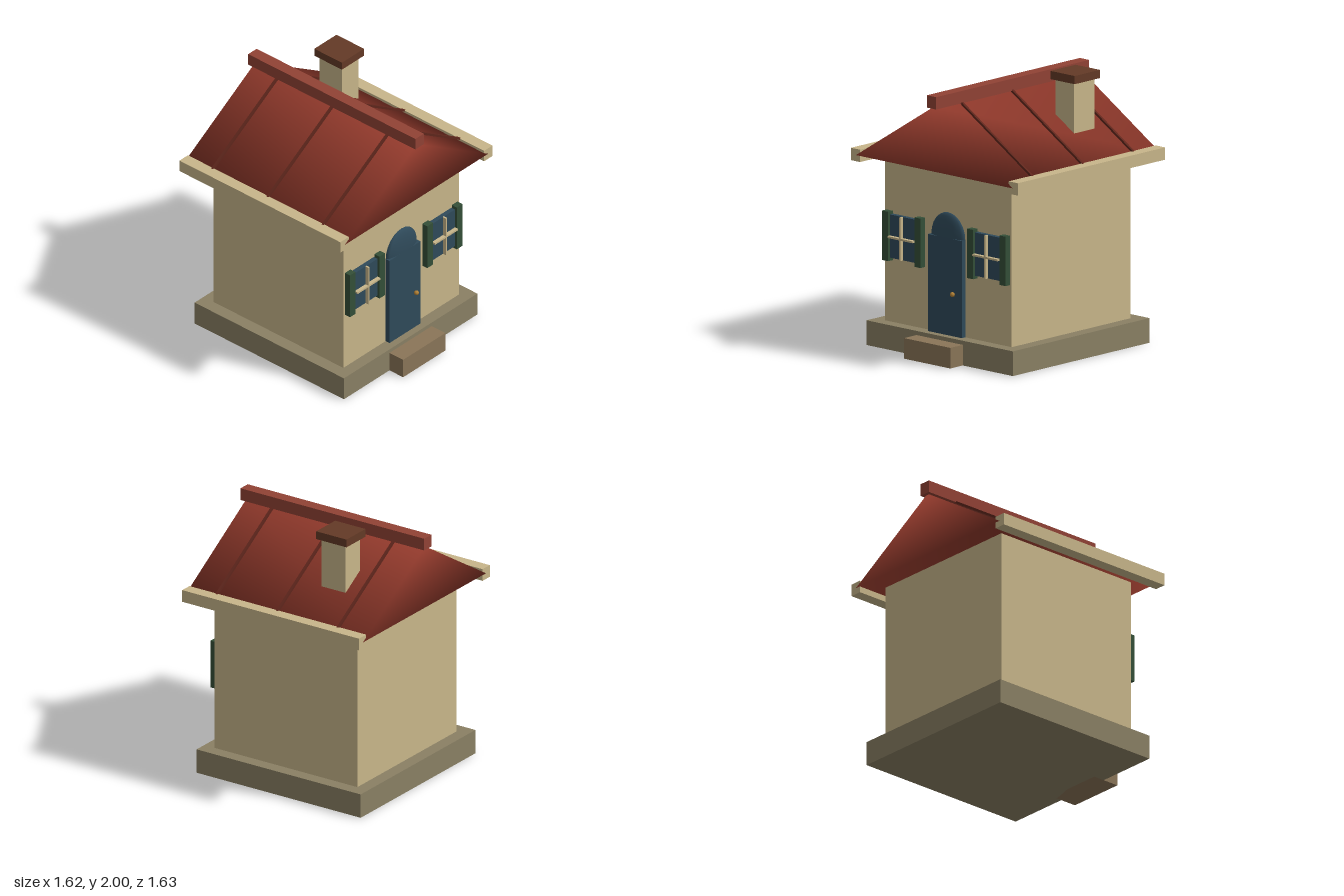
import * as THREE from 'three';

const mat = (color) => new THREE.MeshStandardMaterial({ color });
const M = {
  wall: mat(0xc8b68a), stone: mat(0x8a8064), step: mat(0x8a7558), roof: mat(0x933a2c),
  ridge: mat(0x914235), batten: mat(0x5f261c), cap: mat(0x643a26), blue: mat(0x2f4a5a),
  green: mat(0x344f38), brass: mat(0xb07f35),
};

// Box given by its lower and upper bounds on each axis
function box(name, material, [x0, x1], [y0, y1], [z0, z1]) {
  const mesh = new THREE.Mesh(new THREE.BoxGeometry(x1 - x0, y1 - y0, z1 - z0), material);
  mesh.position.set((x0 + x1) / 2, (y0 + y1) / 2, (z0 + z1) / 2);
  mesh.name = name;
  return mesh;
}

// Triangular prism with shared corners, so the shading blends across its edges
function createRoof(halfWidth, yEave, yTop, zBack, zFront) {
  const points = [];
  for (const z of [zFront, zBack]) points.push(-halfWidth, yEave, z, halfWidth, yEave, z, 0, yTop, z);
  const geometry = new THREE.BufferGeometry();
  geometry.setAttribute('position', new THREE.Float32BufferAttribute(points, 3));
  const faces = [0, 1, 2, 3, 5, 4];
  for (let i = 0; i < 3; i++) {
    const j = (i + 1) % 3;
    faces.push(i, i + 3, j, j, i + 3, j + 3);
  }
  geometry.setIndex(faces);
  geometry.computeVertexNormals();
  const roof = new THREE.Mesh(geometry, M.roof);
  roof.name = 'roof';
  return roof;
}

// Window with glass, crossed bars and a shutter on each side
function createWindow(name, x) {
  const group = new THREE.Group();
  group.name = name;
  group.add(
    box('glass', M.blue, [-0.122, 0.122], [0.655, 0.97], [0.59, 0.635]),
    box('verticalBar', M.wall, [-0.007, 0.007], [0.655, 0.97], [0.63, 0.663]),
    box('horizontalBar', M.wall, [-0.122, 0.122], [0.803, 0.817], [0.63, 0.663]),
  );
  for (const s of [-1, 1]) {
    const shutter = box('shutter', M.green, [-0.03, 0.03], [0.63, 0.99], [0.6, 0.648]);
    shutter.position.x = s * 0.157;
    group.add(shutter);
  }
  group.position.x = x;
  return group;
}

// Door with a domed head and a knob
function createDoor() {
  const group = new THREE.Group();
  group.name = 'door';
  const head = new THREE.Mesh(
    new THREE.SphereGeometry(1, 12, 6, 0, Math.PI * 2, 0, Math.PI / 2), M.blue);
  head.scale.set(0.165, 0.18, 0.04);
  head.position.set(0, 0.885, 0.6);
  head.name = 'doorHead';
  const knob = new THREE.Mesh(new THREE.SphereGeometry(0.018, 12, 8), M.brass);
  knob.position.set(0.095, 0.49, 0.66);
  knob.name = 'doorKnob';
  group.add(box('doorPanel', M.blue, [-0.165, 0.165], [0.18, 0.887], [0.59, 0.637]), head, knob);
  return group;
}

export function createModel() {
  const house = new THREE.Group();
  house.name = 'cottage';

  // Base, step and walls
  house.add(
    box('foundation', M.stone, [-0.71, 0.71], [0, 0.18], [-0.73, 0.69]),
    box('doorStep', M.step, [-0.225, 0.225], [0, 0.15], [0.6, 0.82]),
    box('walls', M.wall, [-0.615, 0.615], [0.18, 1.385], [-0.635, 0.6]),
  );

  // Roof and ridge
  house.add(
    createRoof(0.76, 1.385, 1.86, -0.787, 0.747),
    box('ridgeBeam', M.ridge, [-0.045, 0.045], [1.85, 1.94], [-0.815, 0.775]),
  );

  // Eave beams and raised battens on both slopes
  const slope = Math.atan(0.625);
  for (const s of [-1, 1]) {
    const eave = box('eaveBeam', M.wall, [-0.045, 0.045], [1.34, 1.43], [-0.785, 0.745]);
    eave.position.x = s * 0.765;
    house.add(eave);
    for (const z of [-0.545, -0.02, 0.505]) {
      const batten = new THREE.Mesh(
        new THREE.BoxGeometry(0.71 / Math.cos(slope), 0.016, 0.018), M.batten);
      batten.position.set(s * 0.375, 1.878 - 0.625 * 0.375, z);
      batten.rotation.z = -s * slope;
      batten.name = 'roofBatten';
      house.add(batten);
    }
  }

  // Chimney
  house.add(
    box('chimney', M.wall, [0.28, 0.46], [1.5, 1.94], [-0.425, -0.215]),
    box('chimneyCap', M.cap, [0.253, 0.488], [1.94, 2], [-0.452, -0.19]),
  );

  // Front openings
  house.add(createDoor(), createWindow('leftWindow', 0.412), createWindow('rightWindow', -0.412));
  return house;
}
